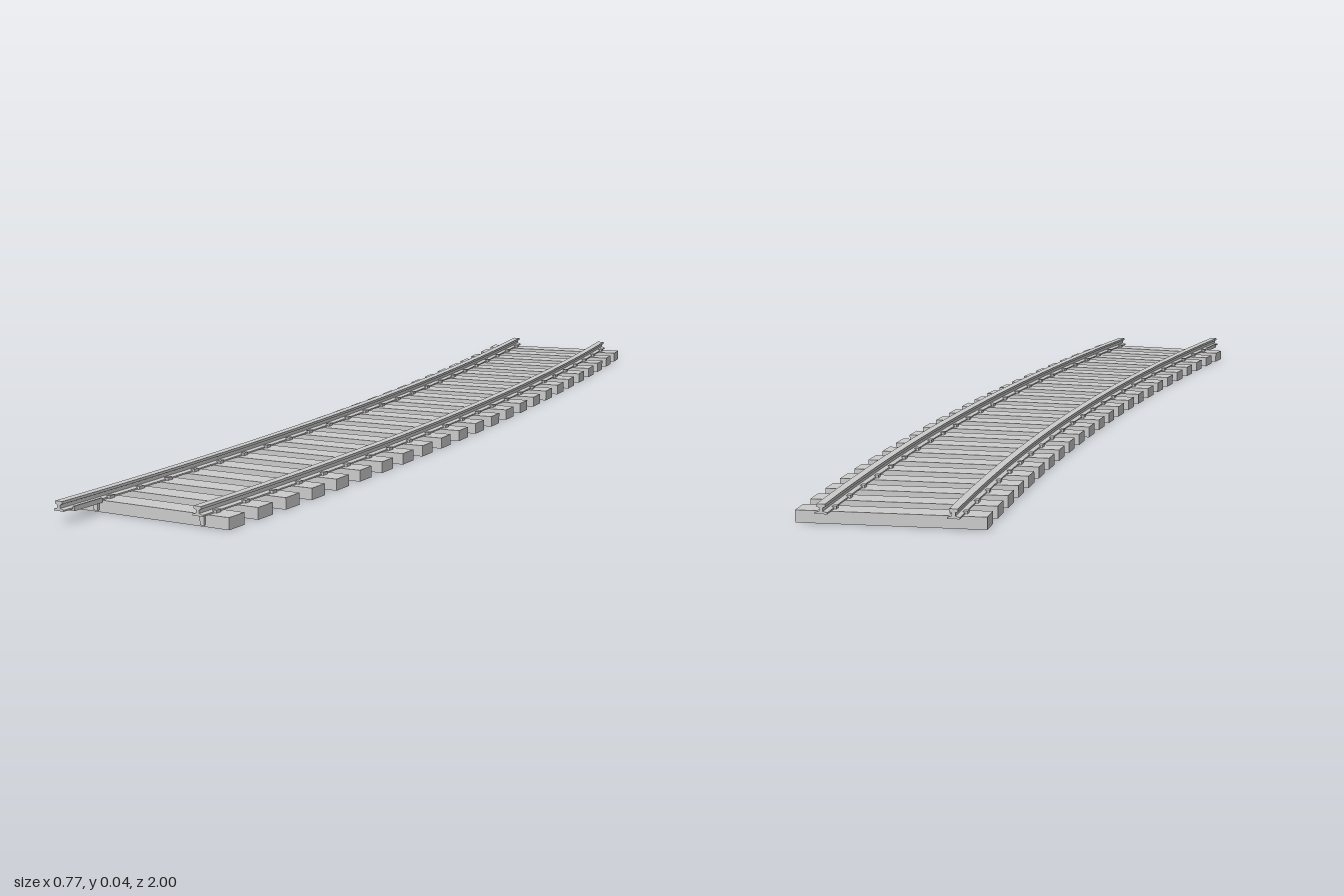
import * as THREE from 'three';

// Track centreline: an arc in the ground plane, running from heading START to END
const CX = -9.092, CZ = 2.345, R = 9.44;
const TIE_START = 0.3534, TIE_END = 0.1574, TIES = 24;
const GAUGE = 0.104, TIE_TOP = 0.02;

const material = new THREE.MeshStandardMaterial({ color: 0xcccccc, flatShading: true });

// Bend a geometry so local x is radial offset and z (0..1) runs along the arc
function bend(geometry, start, end) {
  const p = geometry.attributes.position;
  for (let i = 0; i < p.count; i++) {
    const r = R + p.getX(i);
    const a = start + (end - start) * p.getZ(i);
    p.setXYZ(i, CX + r * Math.cos(a), p.getY(i), CZ - r * Math.sin(a));
  }
  geometry.computeVertexNormals();
  return geometry;
}

// Half of a symmetric rail section, mirrored into a full outline
function railShape(offset) {
  const half = [[0.01, 0.02], [0.01, 0.0225], [0.003, 0.0245], [0.003, 0.03], [0.007, 0.0315], [0.007, 0.036]];
  const left = half.map(([x, y]) => [-x, y]).reverse();
  return new THREE.Shape([...half, ...left].map(([x, y]) => new THREE.Vector2(offset + x, y)));
}

function rail(name, offset, start, end) {
  const geometry = new THREE.ExtrudeGeometry(railShape(offset), { depth: 1, steps: 24, bevelEnabled: false });
  const mesh = new THREE.Mesh(bend(geometry, start, end), material);
  mesh.name = name;
  return mesh;
}

function box(name, w, h, d, x, y, z) {
  const mesh = new THREE.Mesh(new THREE.BoxGeometry(w, h, d), material);
  mesh.position.set(x, y, z);
  mesh.name = name;
  return mesh;
}

// A frame sitting on the arc: x points outward, z along the track
function frameAt(name, angle) {
  const g = new THREE.Group();
  g.name = name;
  g.position.set(CX + R * Math.cos(angle), 0, CZ - R * Math.sin(angle));
  g.rotation.y = angle;
  return g;
}

export function createModel() {
  const model = new THREE.Group();
  model.name = 'curvedTrack';

  // Sleepers with a pair of clips beside each rail
  for (let i = 0; i < TIES; i++) {
    const tie = frameAt('sleeper', TIE_START + (TIE_END - TIE_START) * i / (TIES - 1));
    tie.add(box('sleeperBeam', 0.304, TIE_TOP, 0.043, 0, TIE_TOP / 2, 0));
    for (const side of [-1, 1]) {
      for (const edge of [-1, 1]) {
        tie.add(box('railClip', 0.007, 0.006, 0.013, side * GAUGE + edge * 0.0105, TIE_TOP + 0.002, 0));
      }
    }
    model.add(tie);
  }

  // Rails: the inner one runs on past the last sleeper
  model.add(rail('outerRail', GAUGE, 0.358, 0.1535));
  model.add(rail('innerRail', -GAUGE, 0.358, 0.1448));

  // Joiner sleeve gripping the foot of the projecting rail
  const joint = frameAt('railJoiner', 0.151);
  joint.add(box('joinerPlate', 0.026, 0.003, 0.07, -GAUGE, 0.0185, 0));
  for (const edge of [-1, 1]) {
    joint.add(box('joinerLip', 0.003, 0.007, 0.07, -GAUGE + edge * 0.0115, 0.0215, 0));
  }
  model.add(joint);

  // Small upright tabs on the end face of the last sleeper
  const tabs = frameAt('endTabs', TIE_END);
  for (const side of [-1, 1]) {
    tabs.add(box('endTab', 0.008, 0.018, 0.006, side * GAUGE, 0.012, 0.023));
  }
  model.add(tabs);

  return model;
}
